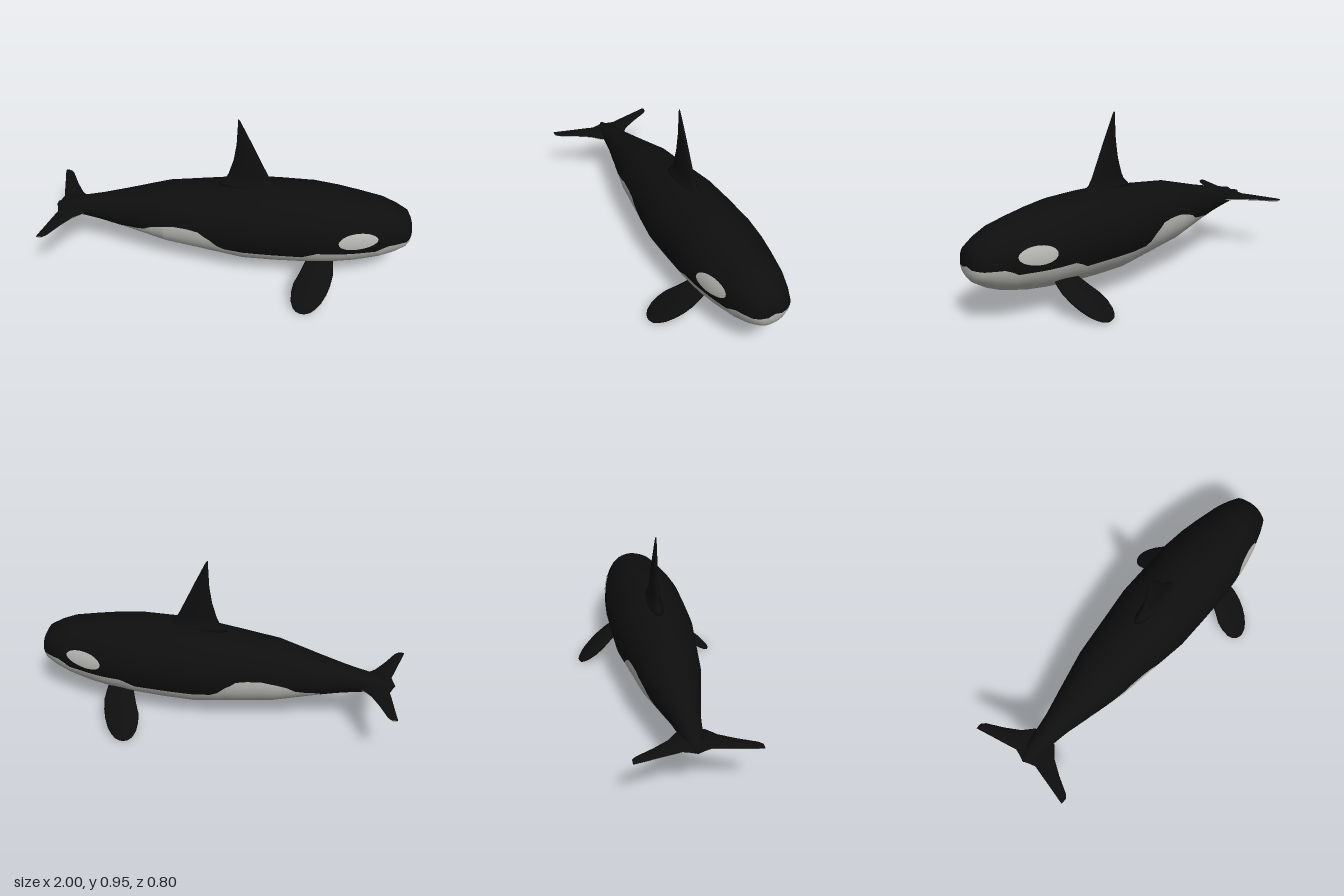
import * as THREE from 'three';

const black = new THREE.MeshStandardMaterial({ color: 0x0e0e0e });
black.name = 'black skin';
const white = new THREE.MeshStandardMaterial({ color: 0xb8b8b4 });
white.name = 'white skin';

// Body stations along the spine: x, top y, bottom y, half width
const stations = [
  [-0.96, 0.335, 0.318, 0.012], [-0.9, 0.35, 0.302, 0.035], [-0.87, 0.37, 0.28, 0.05],
  [-0.78, 0.388, 0.265, 0.062], [-0.7, 0.406, 0.25, 0.075], [-0.58, 0.436, 0.225, 0.105],
  [-0.33, 0.505, 0.16, 0.165], [0.1, 0.555, 0.1, 0.222], [0.27, 0.56, 0.1, 0.223],
  [0.46, 0.557, 0.108, 0.222], [0.59, 0.54, 0.12, 0.21], [0.7, 0.522, 0.135, 0.19],
  [0.83, 0.498, 0.165, 0.16], [0.91, 0.465, 0.198, 0.133], [0.97, 0.428, 0.235, 0.105],
  [0.99, 0.392, 0.26, 0.075], [1.0, 0.36, 0.29, 0.04],
];

// Height of the edge between white belly and black back: x, y
const bellyEdge = [
  [-0.96, 0.325], [-0.7, 0.3], [-0.58, 0.268], [-0.5, 0.28], [-0.45, 0.292], [-0.41, 0.318],
  [-0.35, 0.338], [-0.28, 0.352], [-0.2, 0.351], [-0.14, 0.342], [-0.11, 0.318], [-0.08, 0.3],
  [-0.04, 0.26], [0, 0.24], [0.2, 0.235], [0.42, 0.236], [0.46, 0.258], [0.5, 0.275],
  [0.65, 0.272], [0.81, 0.277], [0.84, 0.295], [0.88, 0.312], [1.0, 0.316],
];

// Linear lookup in a table sorted by its first column
function lookup(table, x) {
  let i = 1;
  while (i < table.length - 1 && table[i][0] < x) i++;
  const a = table[i - 1], b = table[i];
  const t = (x - a[0]) / (b[0] - a[0]);
  return a.map((v, k) => v + (b[k] - v) * t);
}

function section(x) {
  const [, top, bottom, w] = lookup(stations, x);
  return { mid: (top + bottom) / 2, h: (top - bottom) / 2, w };
}

// Closed skin over equal-length rings; isWhite(ring, side) picks the colour
function loft(name, rings, isWhite) {
  const n = rings[0].length, last = rings.length - 1;
  const points = rings.flat();
  const faces = { black: [], white: [] };
  const add = (w, ...f) => faces[w ? 'white' : 'black'].push(...f);
  for (let i = 0; i < last; i++) {
    for (let j = 0; j < n; j++) {
      const a = i * n + j, b = i * n + (j + 1) % n;
      add(isWhite(i, j), a, b, b + n, a, b + n, a + n);
    }
  }
  // end caps
  for (const i of [0, last]) {
    const c = points.length;
    const centre = new THREE.Vector3();
    rings[i].forEach(p => centre.addScaledVector(p, 1 / n));
    points.push(centre);
    for (let j = 0; j < n; j++) {
      const a = i * n + j, b = i * n + (j + 1) % n;
      if (i === 0) add(isWhite(0, j), c, b, a);
      else add(isWhite(last - 1, j), c, a, b);
    }
  }
  // turn all faces outward using the enclosed volume
  const index = [...faces.black, ...faces.white];
  let volume = 0;
  for (let k = 0; k < index.length; k += 3) {
    const [p, q, r] = [points[index[k]], points[index[k + 1]], points[index[k + 2]]];
    volume += p.dot(q.clone().cross(r));
  }
  if (volume < 0) {
    for (let k = 0; k < index.length; k += 3) {
      [index[k + 1], index[k + 2]] = [index[k + 2], index[k + 1]];
    }
  }
  const g = new THREE.BufferGeometry().setFromPoints(points);
  g.setIndex(index);
  g.addGroup(0, faces.black.length, 0);
  if (faces.white.length) g.addGroup(faces.black.length, faces.white.length, 1);
  g.computeVertexNormals();
  const mesh = new THREE.Mesh(g, [black, white]);
  mesh.name = name;
  return mesh;
}

// Lens-shaped fin. Sections are [span, rear x, front x, half thickness]
const HALF = 8;
function fin(name, sections, place, isWhite = () => false) {
  const rings = sections.map(([s, rear, front, t]) => {
    const ring = [];
    for (let j = 0; j < HALF * 2; j++) {
      const a = (j / HALF) * Math.PI;
      const x = (rear + front) / 2 - Math.cos(a) * (front - rear) / 2;
      ring.push(place(x, s, Math.sin(a) * t));
    }
    return ring;
  });
  return loft(name, rings, isWhite);
}

function makeBody() {
  const xs = [...new Set([...stations, ...bellyEdge].map(r => r[0]))].sort((a, b) => a - b);
  const BELLY = 16, BACK = 24;
  const rings = xs.map(x => {
    const { mid, h, w } = section(x);
    const cos = THREE.MathUtils.clamp((mid - lookup(bellyEdge, x)[1]) / h, -0.9, 0.97);
    const edge = Math.acos(cos);
    const ring = [];
    for (let j = 0; j < BELLY + BACK; j++) {
      const a = j < BELLY
        ? -edge + 2 * edge * j / BELLY
        : edge + (2 * Math.PI - 2 * edge) * (j - BELLY) / BACK;
      ring.push(new THREE.Vector3(x, mid - h * Math.cos(a), w * Math.sin(a)));
    }
    return ring;
  });
  return loft('body', rings, (i, j) => j < BELLY && xs[i] >= -0.581);
}

// Thin white oval lying on the flank; side is +1 or -1 in z
function makeEyePatch(side) {
  const g = new THREE.RingGeometry(0.0001, 1, 36, 6);
  const p = g.attributes.position;
  for (let i = 0; i < p.count; i++) {
    const u = p.getX(i), v = p.getY(i);
    const x = 0.714 + u * 0.103;
    const y = 0.359 + v * 0.048 * (1 - 0.1 * u) + u * 0.006;
    const { mid, h, w } = section(x);
    const z = w * Math.sqrt(Math.max(0, 1 - ((y - mid) / h) ** 2)) + 0.005;
    p.setXYZ(i, x, y, z * side);
  }
  if (side < 0) g.setIndex([...g.index.array].reverse());
  g.computeVertexNormals();
  const mesh = new THREE.Mesh(g, white);
  mesh.name = side > 0 ? 'rightEyePatch' : 'leftEyePatch';
  return mesh;
}

export function createModel() {
  const group = new THREE.Group();
  group.name = 'whale';
  group.add(makeBody());

  // Dorsal fin with a flared foot
  group.add(fin('dorsalFin', [
    [0.53, -0.06, 0.28, 0.05], [0.558, -0.035, 0.26, 0.04], [0.575, -0.015, 0.24, 0.028],
    [0.61, 0.003, 0.217, 0.023], [0.7, 0.03, 0.175, 0.019], [0.8, 0.045, 0.13, 0.013],
    [0.9, 0.05, 0.083, 0.007], [0.94, 0.051, 0.064, 0.004], [0.95, 0.052, 0.057, 0.002],
  ], (x, s, t) => new THREE.Vector3(x, s, t)));

  // Paddle flippers sloping down and out, and eye patches
  const paddle = [
    [0, 0.45, 0.59, 0.012], [0.04, 0.435, 0.595, 0.015], [0.09, 0.415, 0.596, 0.018],
    [0.15, 0.387, 0.585, 0.02], [0.2, 0.378, 0.568, 0.019], [0.25, 0.38, 0.542, 0.016],
    [0.285, 0.393, 0.513, 0.012], [0.305, 0.412, 0.487, 0.009], [0.313, 0.435, 0.462, 0.006],
  ];
  for (const side of [1, -1]) {
    group.add(fin(side > 0 ? 'rightFlipper' : 'leftFlipper', paddle, (x, s, t) =>
      new THREE.Vector3(x, 0.187 - 0.577 * s + 0.817 * t, side * (0.14 + 0.817 * s + 0.577 * t))));
    group.add(makeEyePatch(side));
  }

  // Tail flukes: black above, white below
  const half = [
    [0, -0.97, -0.79, 0.018], [0.03, -0.957, -0.785, 0.018], [0.07, -0.945, -0.795, 0.017],
    [0.12, -0.957, -0.85, 0.015], [0.2, -0.975, -0.9, 0.012], [0.29, -0.996, -0.947, 0.009],
    [0.308, -1, -0.965, 0.006],
  ];
  const span = [...half.slice(1).reverse().map(([z, ...r]) => [-z, ...r]), ...half];
  group.add(fin('tailFlukes', span,
    (x, s, t) => new THREE.Vector3(x, 0.318 + 0.03 * Math.abs(s) + t, s),
    (i, j) => j >= HALF));

  return group;
}
